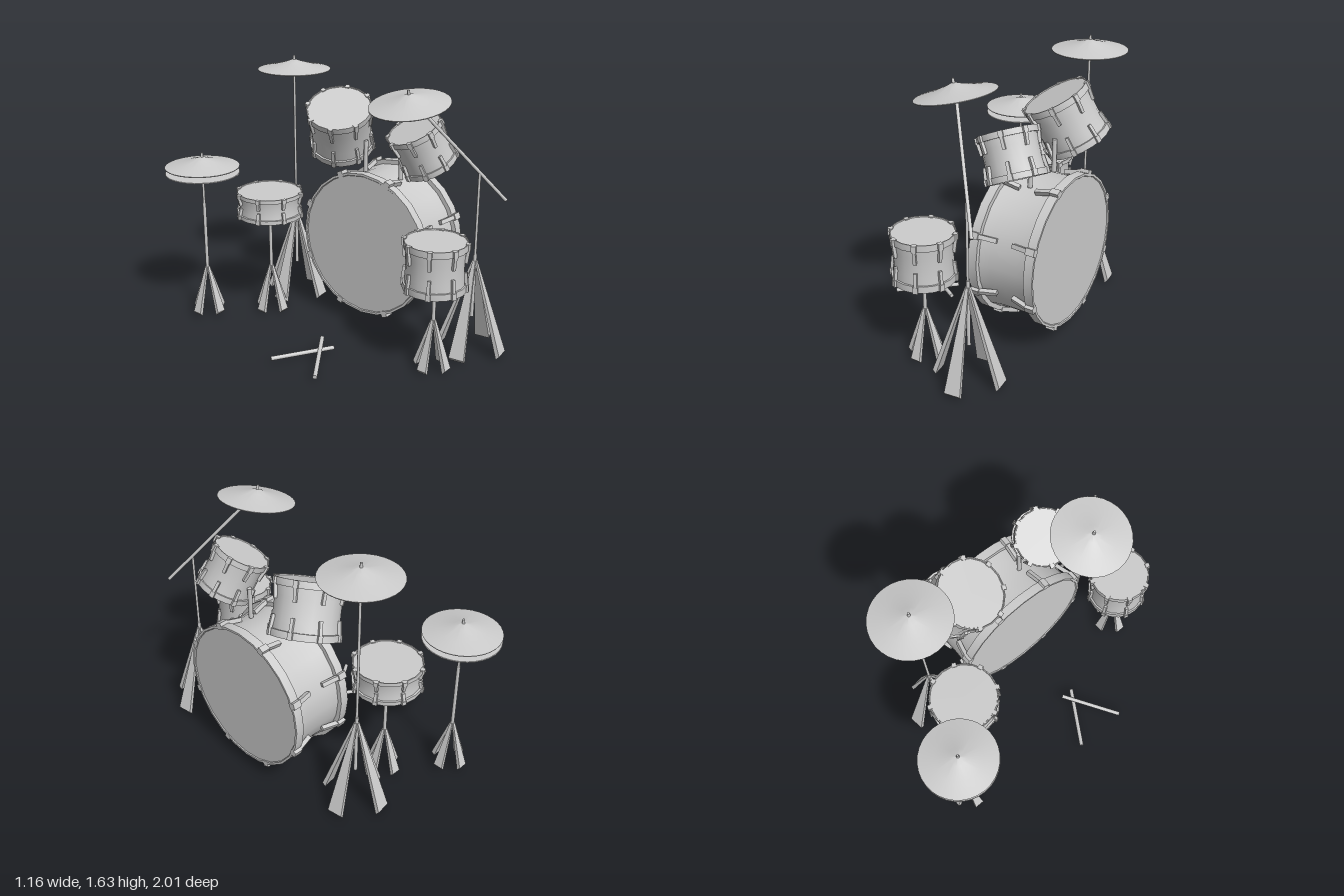
import * as THREE from 'three';
import { toCreasedNormals } from 'three/addons/utils/BufferGeometryUtils.js';

const material = new THREE.MeshStandardMaterial({ color: 0xcccccc });
const V = (x, y, z) => new THREE.Vector3(x, y, z);
const UP = V(0, 1, 0);

function add(parent, name, geometry) {
  const mesh = new THREE.Mesh(geometry, material);
  mesh.name = name;
  parent.add(mesh);
  return mesh;
}

function group(parent, name) {
  const g = new THREE.Group();
  g.name = name;
  parent.add(g);
  return g;
}

function lathe(points, sides) {
  const profile = points.map(([x, y]) => new THREE.Vector2(x, y));
  return toCreasedNormals(new THREE.LatheGeometry(profile, sides), 0.6);
}

// Straight round bar between two points
function rod(parent, name, a, b, r0, r1 = r0) {
  const dir = b.clone().sub(a);
  const mesh = add(parent, name, new THREE.CylinderGeometry(r1, r0, dir.length(), 10));
  mesh.position.copy(a).addScaledVector(dir, 0.5);
  mesh.quaternion.setFromUnitVectors(UP, dir.normalize());
  return mesh;
}

// Drum around the local y axis: hoops, waisted shell, recessed heads and tension lugs
function drum(parent, name, { r, height, hoop, lug, axis, at, sides = 20, count = 8, size = 0.018 }) {
  const g = group(parent, name);
  const h = height / 2, s = r * 0.94, lip = 0.006;
  add(g, 'shell', lathe([
    [0, -h + lip], [r * 0.96, -h + lip], [r * 0.97, -h], [r, -h], [r, -h + hoop], [s, -h + hoop],
    [s * 0.98, -h * 0.4], [s * 0.975, 0], [s * 0.98, h * 0.4],
    [s, h - hoop], [r, h - hoop], [r, h], [r * 0.97, h], [r * 0.96, h - lip], [0, h - lip],
  ], sides));
  for (let i = 0; i < count; i++) {
    const spoke = group(g, 'lugPair');
    spoke.rotation.y = ((i + 0.5) / count) * Math.PI * 2;
    for (const end of [-1, 1]) {
      const claw = add(spoke, 'claw', new THREE.BoxGeometry(size * 1.5, hoop, size * 1.5));
      claw.position.set(0, end * (h - hoop / 2), r - size * 0.1);
      const a = V(0, end * (h - hoop * 0.6), r + size * 0.1);
      const b = V(0, end * (h - lug), s * 0.98 + size * 0.3);
      const bar = add(spoke, 'lug', new THREE.BoxGeometry(size, a.distanceTo(b), size));
      bar.position.copy(a).lerp(b, 0.5);
      bar.quaternion.setFromUnitVectors(UP, a.clone().sub(b).normalize());
    }
  }
  g.position.set(...at);
  g.quaternion.setFromUnitVectors(UP, V(...axis).normalize());
  return g;
}

// Flat leg that widens and swings outward towards the floor
function legGeometry(apex, spread, width) {
  const geo = new THREE.BoxGeometry(1, 1, 1);
  const p = geo.attributes.position;
  for (let i = 0; i < p.count; i++) {
    const t = 0.5 - p.getY(i);
    p.setXYZ(i,
      p.getX(i) * THREE.MathUtils.lerp(0.016, width, t),
      apex * (1 - t) + t * (0.012 + p.getZ(i) * 0.022),
      THREE.MathUtils.lerp(0.008, spread, t) + p.getZ(i) * THREE.MathUtils.lerp(0.012, 0.02, t));
  }
  geo.computeVertexNormals();
  return geo;
}

// Four-legged stand with a two-stage pole
function stand(parent, name, { x, z, apex, spread, width, foot, joint, top, turn = 0 }) {
  const g = group(parent, name);
  g.position.set(x, 0, z);
  const geo = legGeometry(apex, spread, width);
  for (let i = 0; i < 4; i++) {
    add(g, 'leg', geo).rotation.y = turn + (i * Math.PI) / 2;
  }
  rod(g, 'lowerPole', V(0, foot, 0), V(0, joint, 0), 0.011);
  if (top > joint) rod(g, 'upperPole', V(0, joint, 0), V(0, top, 0), 0.008);
  return g;
}

// Shallow cone cymbal, origin at the centre of its rim
function cymbal(parent, name, at, { tilt = 0, flip = false, nut = true } = {}) {
  const g = group(parent, name);
  g.position.set(...at);
  g.rotation.z = tilt;
  const disc = add(g, 'disc', lathe([
    [0, -0.004], [0.228, -0.004], [0.23, 0.001], [0.14, 0.02], [0.05, 0.045], [0.015, 0.058], [0, 0.06],
  ], 32));
  if (flip) disc.rotation.x = Math.PI;
  if (nut) rod(g, 'nut', V(0, 0.05, 0), V(0, 0.085, 0), 0.01, 0.007);
  return g;
}

export function createModel() {
  const kit = new THREE.Group();
  kit.name = 'drumKit';

  // Drums
  drum(kit, 'bassDrum', {
    r: 0.457, height: 0.415, hoop: 0.055, lug: 0.155, axis: [1, 0, 0], at: [0.358, 0.55, 0.11],
    sides: 24, size: 0.026,
  });
  drum(kit, 'largeTom', {
    r: 0.203, height: 0.315, hoop: 0.04, lug: 0.115, axis: [-0.13, 0.28, 0.075], at: [0.33, 1.215, -0.2],
  });
  drum(kit, 'smallTom', {
    r: 0.17, height: 0.265, hoop: 0.035, lug: 0.1, axis: [-0.115, 0.25, -0.065], at: [0.338, 1.192, 0.405],
  });
  drum(kit, 'floorTom', {
    r: 0.182, height: 0.287, hoop: 0.04, lug: 0.115, axis: UP.toArray(), at: [-0.015, 0.652, 0.748],
  });
  drum(kit, 'snareDrum', {
    r: 0.208, height: 0.16, hoop: 0.025, lug: 0.07, axis: UP.toArray(), at: [-0.02, 0.742, -0.495],
  });

  // Posts carrying the two toms
  for (const z of [0.245, -0.02]) rod(kit, 'tomPost', V(0.355, 0.95, z), V(0.355, 1.15, z), 0.014);

  // Stands under the drums
  const small = { apex: 0.31, spread: 0.1, width: 0.06, foot: 0.27 };
  stand(kit, 'floorTomStand', { ...small, x: -0.015, z: 0.752, joint: 0.52, top: 0.52 });
  stand(kit, 'snareStand', { ...small, x: -0.02, z: -0.495, joint: 0.67, top: 0.67 });

  // Paired cymbals on their stand
  stand(kit, 'hiHatStand', { ...small, x: -0.33, z: -0.765, joint: 0.74, top: 1.05 }).position.y = 0.02;
  cymbal(kit, 'hiHatTop', [-0.33, 1.003, -0.765]);
  cymbal(kit, 'hiHatBottom', [-0.33, 0.962, -0.765], { flip: true, nut: false });

  // Straight cymbal stand
  const big = { apex: 0.58, spread: 0.195, width: 0.095, foot: 0.22 };
  stand(kit, 'straightCymbalStand', { ...big, x: 0.287, z: -0.543, joint: 0.62, top: 1.59, turn: 0.13 });
  cymbal(kit, 'straightCymbal', [0.287, 1.542, -0.543]);

  // Boom cymbal stand
  stand(kit, 'boomCymbalStand', { ...big, x: 0.32, z: 0.808, joint: 0.62, top: 1.11, turn: 0.13 });
  rod(kit, 'boomArm', V(0.43, 0.945, 0.925), V(0.045, 1.55, 0.505), 0.01);
  cymbal(kit, 'boomCymbal', [0.047, 1.512, 0.505], { tilt: 0.196 });

  // Crossed sticks on the floor
  rod(kit, 'drumstick', V(-0.57, 0.035, 0.0), V(-0.235, 0.035, 0.2), 0.013);
  rod(kit, 'drumstick', V(-0.57, 0.035, 0.335), V(-0.24, 0.075, 0.115), 0.013);

  return kit;
}
